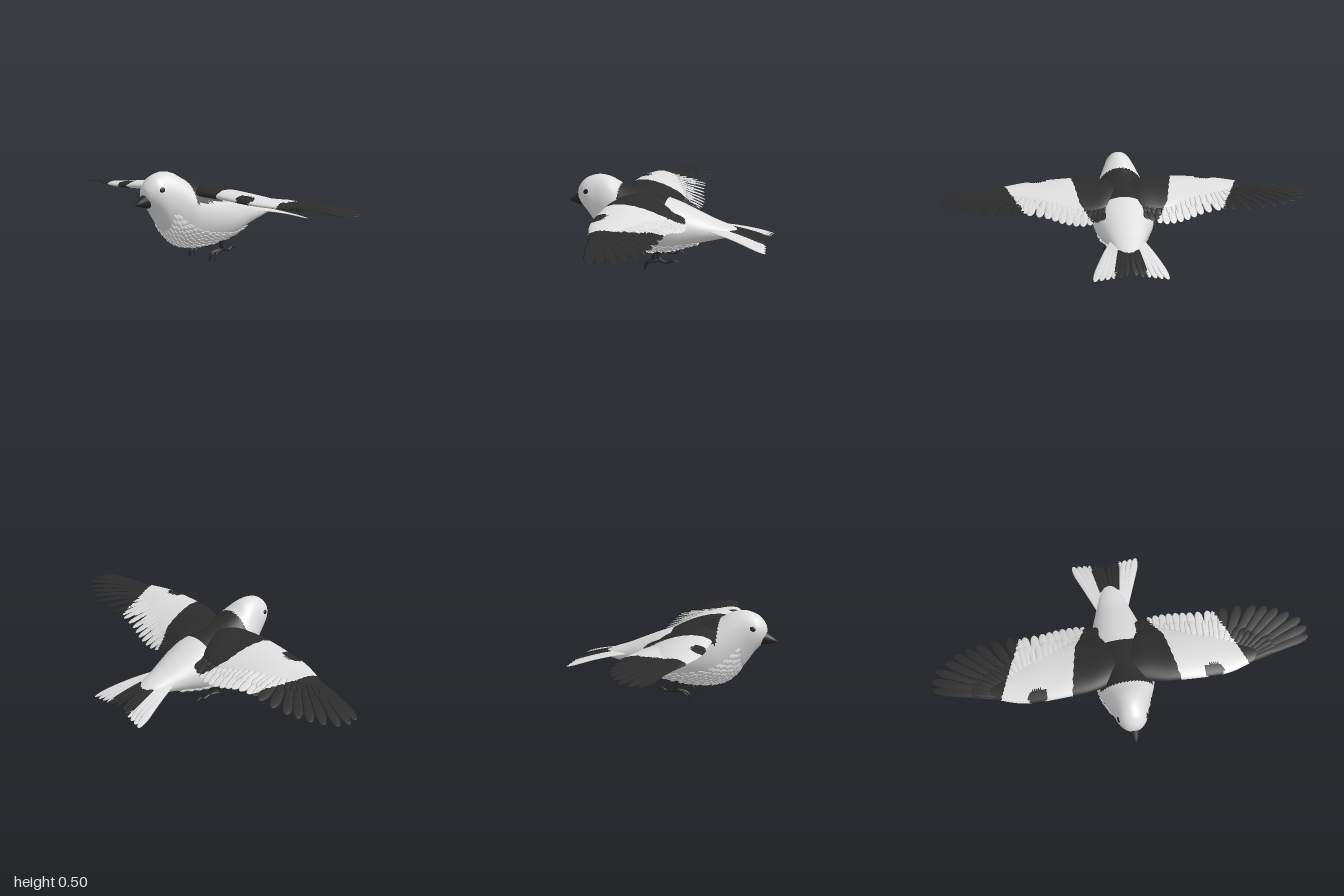
import * as THREE from 'three';
import { mergeGeometries } from 'three/addons/utils/BufferGeometryUtils.js';

const V = (x, y, z) => new THREE.Vector3(x, y, z);
const mat = (name, color) => {
  const m = new THREE.MeshStandardMaterial({ color });
  m.name = name;
  return m;
};

// Closed-ring surface from point(u, angle); faces are turned outward by signed volume
function loft(point, nu, nv) {
  const pts = [], idx = [];
  for (let i = 0; i <= nu; i++)
    for (let j = 0; j < nv; j++) pts.push(point(i / nu, (j / nv) * Math.PI * 2));
  for (let i = 0; i < nu; i++)
    for (let j = 0; j < nv; j++) {
      const a = i * nv + j, b = i * nv + ((j + 1) % nv);
      idx.push(a, b, a + nv, b, b + nv, a + nv);
    }
  let vol = 0;
  const rel = pts.map((p) => p.clone().sub(pts[0]));
  for (let k = 0; k < idx.length; k += 3)
    vol += rel[idx[k]].dot(rel[idx[k + 1]].clone().cross(rel[idx[k + 2]]));
  if (vol < 0) idx.reverse();
  const g = new THREE.BufferGeometry().setFromPoints(pts);
  g.setIndex(idx);
  g.computeVertexNormals();
  return g;
}

// Sort faces into two material groups: plain and dark
function paint(g, isDark) {
  const p = g.attributes.position, src = g.index.array, sets = [[], []];
  const a = V(), b = V(), c = V(), n = V();
  for (let k = 0; k < src.length; k += 3) {
    const f = [src[k], src[k + 1], src[k + 2]];
    a.fromBufferAttribute(p, f[0]);
    b.fromBufferAttribute(p, f[1]);
    c.fromBufferAttribute(p, f[2]);
    n.copy(b).sub(a).cross(c.clone().sub(a));
    a.add(b).add(c).divideScalar(3);
    sets[isDark(a, n) ? 1 : 0].push(...f);
  }
  g.setIndex(sets[0].concat(sets[1]));
  g.addGroup(0, sets[0].length, 0);
  g.addGroup(sets[0].length, sets[1].length, 1);
  return g;
}

// Thin lens-shaped feather with a rounded tip
function feather(base, tip, width, thick, up = V(0, 1, 0), nu = 20, nv = 8) {
  const d = tip.clone().sub(base);
  const s = d.clone().cross(up).normalize();
  const n = s.clone().cross(d).normalize();
  return loft((u, a) => {
    const t = 1 - (1 - u) ** 1.5;
    const w = (0.6 + 0.4 * t) * Math.sqrt(Math.max(0, 1 - Math.max(0, (t - 0.75) / 0.25) ** 2));
    return base.clone().addScaledVector(d, t)
      .addScaledVector(s, width * w * Math.cos(a))
      .addScaledVector(n, thick * w * Math.sin(a) + d.length() * 0.03 * Math.sin(Math.PI * t));
  }, nu, nv);
}

// Tapered round tube along a curve
function taper(points, r0, r1) {
  const curve = new THREE.CatmullRomCurve3(points);
  return loft((u, a) => {
    const n = curve.getTangent(u).cross(V(1, 0, 0)).normalize();
    const r = u === 1 ? 0 : r0 + (r1 - r0) * u;
    return curve.getPoint(u).add(V(r * Math.cos(a), 0, 0)).addScaledVector(n, r * Math.sin(a));
  }, 14, 8);
}

// Smooth interpolation through the columns of a table of rows
function table(rows) {
  const cols = rows[0].map((_, c) => new THREE.SplineCurve(rows.map((r, i) => new THREE.Vector2(i, r[c]))));
  return (t) => cols.map((c) => c.getPoint(Math.min(1, Math.max(0, t))).y);
}

// Body rows: z, top, bottom, half width
const body = table([
  [0.5, 0.4, 0.39, 0], [0.495, 0.425, 0.36, 0.03], [0.475, 0.455, 0.325, 0.055],
  [0.44, 0.482, 0.285, 0.077], [0.38, 0.498, 0.2, 0.094], [0.32, 0.488, 0.135, 0.117],
  [0.25, 0.452, 0.1, 0.146], [0.15, 0.423, 0.09, 0.166], [0.05, 0.4, 0.095, 0.168],
  [-0.05, 0.37, 0.113, 0.155], [-0.15, 0.33, 0.147, 0.122], [-0.25, 0.288, 0.175, 0.088],
  [-0.33, 0.26, 0.195, 0.062], [-0.38, 0.238, 0.208, 0.038], [-0.4, 0.225, 0.218, 0],
]);
const bodyPoint = (t, a) => {
  const [z, top, bot, rx] = body(t);
  return V(rx * Math.sin(a), (top + bot) / 2 - ((top - bot) / 2) * Math.cos(a), z);
};

// Wing arm rows: x, leading z, trailing z, leading y, trailing y, thickness
const arm = table([
  [0.02, 0.22, 0.02, 0.385, 0.36, 0.03], [0.1, 0.245, -0.04, 0.385, 0.345, 0.038],
  [0.2, 0.265, -0.05, 0.387, 0.335, 0.036], [0.3, 0.27, -0.03, 0.386, 0.34, 0.033],
  [0.45, 0.272, 0, 0.376, 0.348, 0.027], [0.55, 0.262, 0.04, 0.37, 0.352, 0.021],
  [0.65, 0.23, 0.09, 0.365, 0.355, 0.015], [0.75, 0.19, 0.12, 0.358, 0.355, 0.008],
  [0.8, 0.17, 0.15, 0.355, 0.355, 0],
]);

// Wing markings: shoulder band, wrist spot and dark hand
function wingDark(p, n) {
  const x = Math.abs(p.x), z = p.z;
  if (x > 0.56 + 0.39 * z) return true;
  if (((x - 0.46) / 0.052) ** 2 + ((z - 0.245) / 0.038) ** 2 < 1) return true;
  return x < 0.235 + (z > 0 ? 0.18 : 0.5) * z && (n.y > 0 || z > 0.17);
}

function wing(side) {
  const parts = [];
  parts.push(loft((u, a) => {
    const [x, zl, zt, yl, yt, th] = arm(u);
    const c = (1 + Math.cos(a)) / 2;
    const y = yt + (yl - yt) * c + th * Math.sin(a) * (0.45 + 0.55 * c) + 0.5 * th * 4 * c * (1 - c);
    return V(side * x, y, zt + (zl - zt) * c);
  }, 90, 40));
  // Feather rows: base x, z, y, then tip x, z, y
  const secondary = table([
    [0.1, 0.08, 0.365, 0.12, -0.12, 0.305], [0.2, 0.08, 0.365, 0.21, -0.145, 0.285],
    [0.3, 0.09, 0.365, 0.31, -0.14, 0.297], [0.4, 0.1, 0.365, 0.41, -0.118, 0.325],
    [0.5, 0.12, 0.362, 0.53, -0.105, 0.343],
  ]);
  const primary = table([
    [0.52, 0.13, 0.362, 0.58, -0.112, 0.345], [0.55, 0.14, 0.362, 0.72, -0.105, 0.346],
    [0.59, 0.16, 0.362, 0.82, -0.08, 0.348], [0.62, 0.175, 0.362, 0.91, -0.038, 0.348],
    [0.65, 0.19, 0.362, 0.99, 0.03, 0.347], [0.66, 0.205, 0.362, 0.995, 0.115, 0.346],
  ]);
  const row = (tab, count, width, reach, lift) => {
    for (let i = 0; i < count; i++) {
      const [bx, bz, by, tx, tz, ty] = tab(i / (count - 1));
      const b = V(side * bx, by + lift, bz), t = V(side * tx, ty + lift, tz);
      parts.push(feather(b, b.clone().lerp(t, reach), width, 0.004, V(side * 0.18, 1, 0)));
    }
  };
  row(secondary, 12, 0.026, 1, 0);
  row(primary, 9, 0.032, 1, 0);
  row(secondary, 16, 0.02, 0.74, 0.008);
  row(primary, 11, 0.02, 0.5, 0.007);
  return paint(mergeGeometries(parts), wingDark);
}

export function createModel() {
  const group = new THREE.Group();
  const white = mat('whitePlumage', 0xdedede);
  const black = mat('blackPlumage', 0x2c2c2c);
  const horn = mat('darkHorn', 0x262626);
  const add = (name, geometry, material) => {
    const m = new THREE.Mesh(geometry, material);
    m.name = name;
    group.add(m);
    return m;
  };

  // Head and body with dark mantle
  add('body', paint(loft(bodyPoint, 150, 48), (p) => p.z > 0 && p.z < 0.255 && p.y > 0.335), [white, black]);

  // Ruffled breast and belly feathers
  const scales = [];
  for (let r = 0, t = 4.1; t < 10; t += 0.24, r++) {
    const spread = 1.35 - 0.09 * (t - 4);
    const count = Math.max(7, Math.round((spread * 2 * body(t / 14)[3]) / 0.02));
    for (let i = 0; i < count; i++) {
      const a = -spread + (2 * spread * (i + (r % 2) * 0.5)) / count;
      const base = bodyPoint(t / 14, a);
      const n = V(Math.sin(a), -Math.cos(a), 0);
      const tip = bodyPoint((t + 0.36) / 14, a).addScaledVector(n, 0.009 + 0.003 * Math.sin(i * 5 + r * 3));
      scales.push(feather(base, tip, 0.012, 0.003, n, 5, 6));
    }
  }
  add('breastFeathers', mergeGeometries(scales), white);

  // Beak rows: z, centre y, half height, half width
  const beak = table([
    [0.465, 0.36, 0.042, 0.038], [0.49, 0.358, 0.036, 0.033], [0.515, 0.352, 0.024, 0.022],
    [0.54, 0.346, 0.011, 0.011], [0.556, 0.342, 0, 0],
  ]);
  add('beak', loft((u, a) => {
    const [z, y, ry, rx] = beak(u);
    return V(rx * Math.cos(a), y + ry * Math.sin(a), z);
  }, 20, 20), horn);

  // Tail fan
  const tail = [];
  for (const s of [-1, 1])
    for (let i = 5; i >= 0; i--) {
      const k = i / 5;
      tail.push(feather(V(s * (0.008 + 0.05 * k), 0.268 - 0.02 * k, -0.2),
        V(s * (0.025 + 0.155 * k), 0.19 - 0.015 * k, -0.525 - 0.028 * Math.sqrt(k)), 0.024, 0.004, V(s * 0.12, 1, 0), 30));
    }
  add('tail', paint(mergeGeometries(tail), (p) => p.z < -0.35 && Math.abs(p.x) < 0.055 - 0.15 * (p.z + 0.36)), [white, black]);

  for (const s of [1, -1]) {
    const label = s > 0 ? 'left' : 'right';
    add(label + 'Wing', wing(s), [white, black]);

    // Eye
    const eye = add(label + 'Eye', new THREE.SphereGeometry(0.018, 20, 14), horn);
    eye.position.set(s * 0.07, 0.413, 0.433);
    eye.scale.set(0.5, 0.85, 1);

    // Shank, three front toes and a hind toe
    const x = s * 0.08;
    const foot = [taper([V(x, 0.14, 0.03), V(x, 0.085, 0.035), V(x, 0.055, 0.015)], 0.014, 0.009)];
    for (const k of [-1, 0, 1])
      foot.push(taper([V(x, 0.062, 0.015), V(x + k * 0.013, 0.056, 0.06), V(x + k * 0.02, 0.045, 0.1 - 0.008 * Math.abs(k)),
        V(x + k * 0.02, 0.002, 0.115 - 0.008 * Math.abs(k))], 0.009, 0.003));
    foot.push(taper([V(x, 0.06, 0.025), V(x, 0.052, -0.02), V(x, 0.065, -0.045), V(x, 0.056, -0.077)], 0.009, 0.003));
    add(label + 'Foot', mergeGeometries(foot), horn);
  }
  return group;
}
